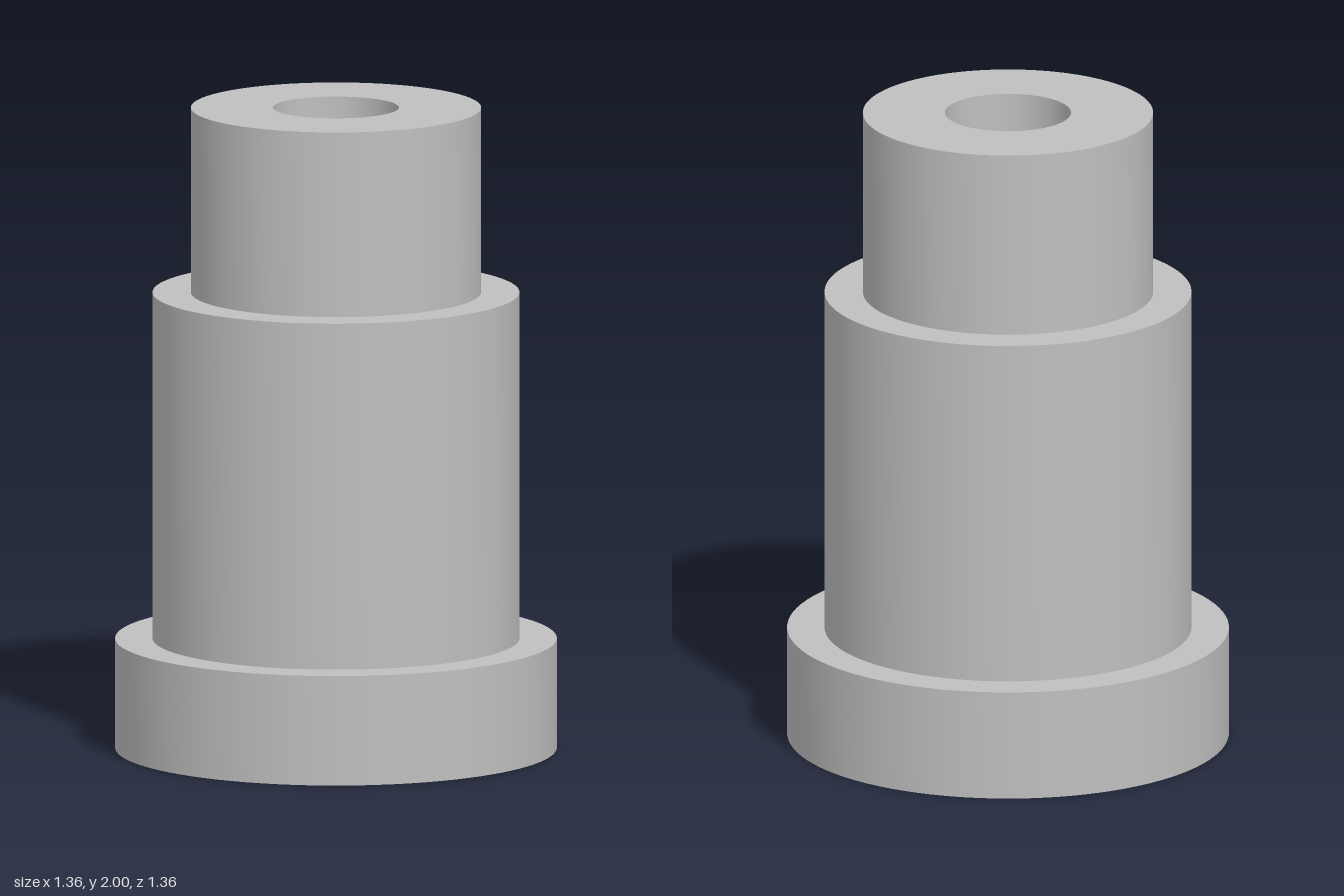
import * as THREE from 'three';
import { toCreasedNormals } from 'three/addons/utils/BufferGeometryUtils.js';

const SEGMENTS = 96;
const BORE = 0.194, NECK = 0.447, BODY = 0.565, FLANGE = 0.68;
const FLANGE_TOP = 0.342, BODY_TOP = 1.423, TOP = 2;

export function createModel() {
  const group = new THREE.Group();
  group.name = 'steppedBushing';
  const metal = new THREE.MeshStandardMaterial({ color: 0xbfbfbf });
  metal.name = 'plain grey';

  // Revolve a profile of [radius, height] pairs, keeping its corners sharp
  const turn = (name, profile) => {
    const points = profile.map(([r, y]) => new THREE.Vector2(r, y));
    const geometry = toCreasedNormals(new THREE.LatheGeometry(points, SEGMENTS), Math.PI / 6);
    const mesh = new THREE.Mesh(geometry, metal);
    mesh.name = name;
    group.add(mesh);
  };

  // Base flange: underside, rim and upper ledge
  turn('baseFlange', [[BORE, 0], [FLANGE, 0], [FLANGE, FLANGE_TOP], [BODY, FLANGE_TOP]]);
  // Middle body: wall and shoulder
  turn('body', [[BODY, FLANGE_TOP], [BODY, BODY_TOP], [NECK, BODY_TOP]]);
  // Top neck: wall and end face
  turn('neck', [[NECK, BODY_TOP], [NECK, TOP], [BORE, TOP]]);
  // Through hole, facing inward
  turn('bore', [[BORE, TOP], [BORE, 0]]);

  return group;
}
